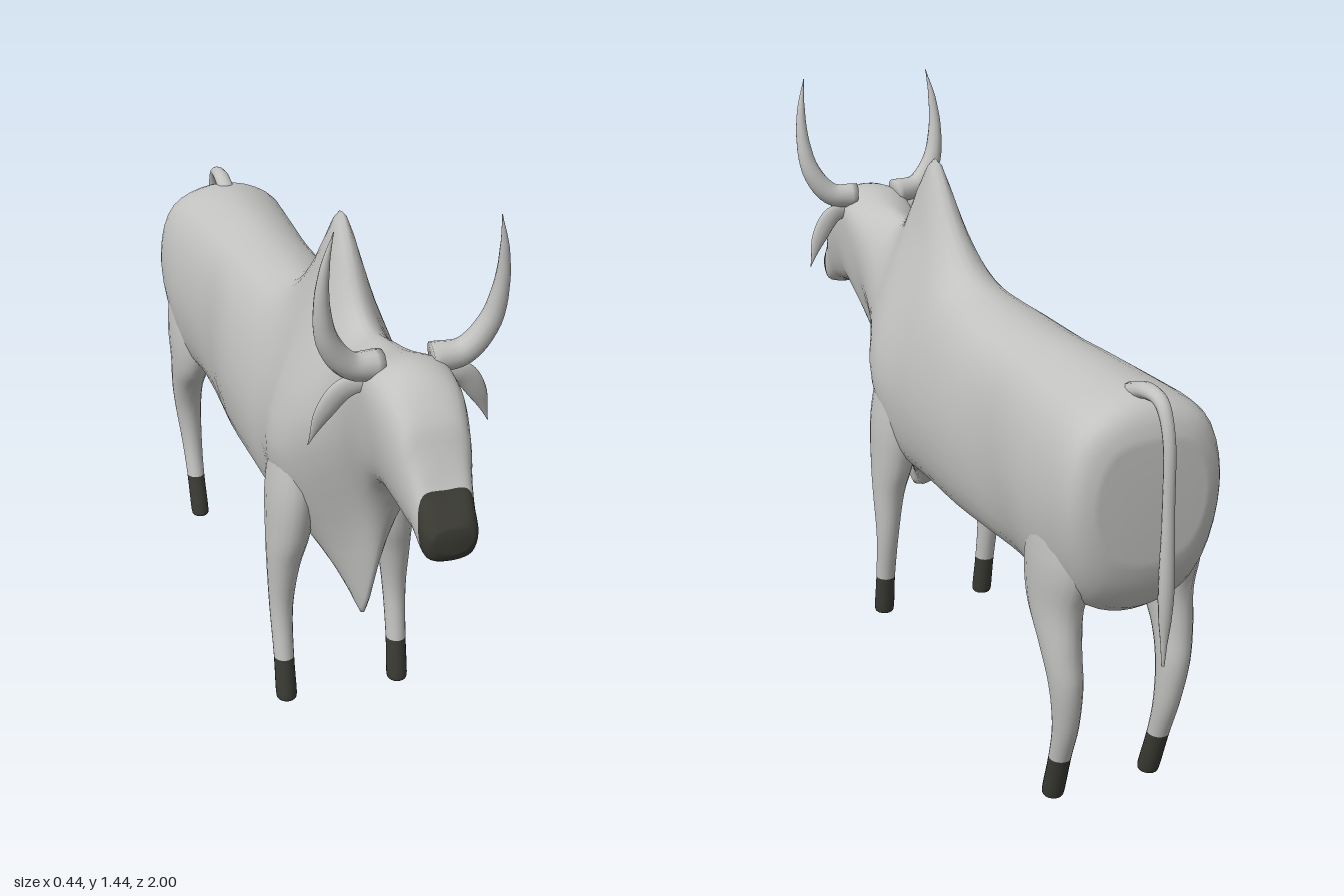
import * as THREE from 'three';

const hide = new THREE.MeshStandardMaterial({ name: 'greyHide', color: 0xc2c2c0 });
const dark = new THREE.MeshStandardMaterial({ name: 'darkHorn', color: 0x3b3b34 });

// Catmull-Rom interpolation of rows of numbers
function smooth(rows, sub) {
  const out = [];
  const at = (i) => rows[Math.max(0, Math.min(rows.length - 1, i))];
  for (let i = 0; i < rows.length - 1; i++) {
    for (let s = 0; s < sub; s++) {
      const t = s / sub;
      out.push(at(i).map((b, k) => {
        const a = at(i - 1)[k], c = at(i + 1)[k], d = at(i + 2)[k];
        return b + 0.5 * t * (c - a + t * (2 * a - 5 * b + 4 * c - d + t * (3 * (b - c) + d - a)));
      }));
    }
  }
  out.push(rows[rows.length - 1]);
  return out;
}

// Skin over closed rings with capped ends; rings from splitAt onward are dark
function loft(name, rings, splitAt = rings.length) {
  const n = rings[0].length, pos = [], index = [];
  const mid = (r) => r.reduce((s, p) => s.add(p), new THREE.Vector3()).divideScalar(n);
  const points = [...rings.flat(), mid(rings[0]), mid(rings[rings.length - 1])];
  points.forEach((p) => pos.push(p.x, p.y, p.z));
  const first = points.length - 2, last = points.length - 1, end = (rings.length - 1) * n;
  for (let j = 0; j < n; j++) index.push(first, (j + 1) % n, j);
  let split = 0;
  for (let i = 0; i < rings.length - 1; i++) {
    if (i === splitAt) split = index.length;
    for (let j = 0; j < n; j++) {
      const a = i * n + j, b = i * n + (j + 1) % n;
      index.push(a, b, a + n, b, b + n, a + n);
    }
  }
  for (let j = 0; j < n; j++) index.push(last, end + j, end + (j + 1) % n);
  // turn the faces outward if the enclosed volume is negative
  let volume = 0;
  const c = points[first], e = () => new THREE.Vector3();
  for (let i = 0; i < index.length; i += 3) {
    const [p, q, r] = [0, 1, 2].map((k) => e().subVectors(points[index[i + k]], c));
    volume += p.dot(q.cross(r));
  }
  if (volume < 0) {
    for (let i = 0; i < index.length; i += 3) [index[i + 1], index[i + 2]] = [index[i + 2], index[i + 1]];
  }
  const g = new THREE.BufferGeometry();
  g.setAttribute('position', new THREE.Float32BufferAttribute(pos, 3));
  g.setIndex(index);
  g.computeVertexNormals();
  if (split) {
    g.addGroup(0, split, 0);
    g.addGroup(split, index.length - split, 1);
  }
  const mesh = new THREE.Mesh(g, split ? [hide, dark] : hide);
  mesh.name = name;
  return mesh;
}

// Tapering sweep along a path; flat is the thickness-to-width ratio
function sweep(name, path, radii, flat, ref, steps = 24, sides = 12) {
  const curve = new THREE.CatmullRomCurve3(path.map((p) => new THREE.Vector3(...p)));
  const sizes = smooth(radii.map((r) => [r]), 16);
  const rings = [];
  for (let i = 0; i <= steps; i++) {
    const u = i / steps, p = curve.getPoint(u), t = curve.getTangent(u);
    const r = Math.max(0.001, sizes[Math.round(u * (sizes.length - 1))][0]);
    const a = new THREE.Vector3().crossVectors(ref, t).normalize();
    const b = new THREE.Vector3().crossVectors(t, a);
    rings.push(Array.from({ length: sides }, (_, j) => {
      const w = (j / sides) * Math.PI * 2;
      return p.clone().addScaledVector(a, r * Math.cos(w)).addScaledVector(b, r * flat * Math.sin(w));
    }));
  }
  return loft(name, rings);
}

// Body sections: z, top y, upper x, upper y, widest x, its y, lower x, lower y, bottom y
const trunk = [
  [-0.915, 0.93, 0.09, 0.91, 0.13, 0.80, 0.09, 0.69, 0.66],
  [-0.895, 0.99, 0.13, 0.95, 0.175, 0.80, 0.12, 0.62, 0.58],
  [-0.84, 1.025, 0.15, 0.965, 0.195, 0.78, 0.13, 0.56, 0.51],
  [-0.70, 1.03, 0.14, 0.97, 0.198, 0.75, 0.14, 0.54, 0.50],
  [-0.55, 1.03, 0.13, 0.97, 0.185, 0.75, 0.13, 0.54, 0.495],
  [-0.40, 1.025, 0.12, 0.97, 0.172, 0.75, 0.13, 0.53, 0.48],
  [-0.20, 1.025, 0.12, 0.97, 0.187, 0.73, 0.135, 0.52, 0.467],
  [0, 1.05, 0.10, 0.98, 0.18, 0.72, 0.135, 0.52, 0.462],
];
const humpAndDewlap = [
  [0.12, 1.15, 0.085, 1.02, 0.172, 0.73, 0.13, 0.51, 0.455],
  [0.20, 1.255, 0.07, 1.08, 0.18, 0.73, 0.12, 0.50, 0.43],
  [0.25, 1.297, 0.065, 1.10, 0.185, 0.74, 0.11, 0.50, 0.40],
  [0.31, 1.24, 0.065, 1.09, 0.172, 0.75, 0.09, 0.50, 0.36],
  [0.38, 1.13, 0.07, 1.03, 0.14, 0.80, 0.05, 0.50, 0.325],
  [0.45, 1.085, 0.075, 1.01, 0.115, 0.83, 0.035, 0.55, 0.325],
  [0.53, 1.09, 0.08, 1.03, 0.10, 0.88, 0.035, 0.65, 0.50],
  [0.61, 1.10, 0.085, 1.06, 0.10, 0.95, 0.06, 0.76, 0.68],
];
const head = [
  [0.69, 1.12, 0.088, 1.09, 0.103, 0.99, 0.07, 0.83, 0.80],
  [0.75, 1.122, 0.085, 1.09, 0.102, 0.99, 0.065, 0.845, 0.822],
  [0.81, 1.10, 0.078, 1.075, 0.096, 0.97, 0.06, 0.835, 0.812],
  [0.87, 1.045, 0.065, 1.03, 0.083, 0.93, 0.055, 0.82, 0.797],
  [0.90, 0.99, 0.057, 0.975, 0.073, 0.90, 0.052, 0.81, 0.785],
  [0.94, 0.92, 0.05, 0.915, 0.064, 0.85, 0.05, 0.785, 0.772],
  [0.975, 0.88, 0.045, 0.875, 0.06, 0.84, 0.046, 0.79, 0.778],
  [0.997, 0.855, 0.03, 0.85, 0.045, 0.835, 0.03, 0.81, 0.80],
];

function bodyRing([z, yt, x1, y1, w, ym, x2, y2, yb]) {
  const half = [[x1, y1], [w, ym], [x2, y2]];
  const outline = [[0, yt], ...half, [0, yb], ...half.slice().reverse().map(([x, y]) => [-x, y])];
  const curve = new THREE.CatmullRomCurve3(outline.map(([x, y]) => new THREE.Vector3(x, y, 0)), true);
  // the face leans so that the chin lies further forward
  const lean = 0.18 * Math.max(0, Math.min(z - 0.8, (1 - z) * 2.3));
  return Array.from({ length: 40 }, (_, j) => {
    const p = curve.getPoint(j / 40);
    p.z = z + lean * (yt - p.y) / (yt - yb);
    return p;
  });
}

// Leg sections: y, z, x, half depth, half width; the last two form the hoof
const frontLeg = [
  [0.82, 0.24, 0.12, 0.06, 0.03], [0.62, 0.245, 0.125, 0.095, 0.06],
  [0.48, 0.25, 0.135, 0.08, 0.055], [0.38, 0.25, 0.147, 0.052, 0.042],
  [0.25, 0.248, 0.153, 0.034, 0.03], [0.115, 0.27, 0.153, 0.028, 0.026],
  [0.012, 0.287, 0.152, 0.028, 0.027], [0, 0.287, 0.152, 0.022, 0.021],
];
const rearLeg = [
  [0.85, -0.76, 0.11, 0.09, 0.06], [0.65, -0.75, 0.13, 0.12, 0.067],
  [0.52, -0.742, 0.14, 0.095, 0.055], [0.42, -0.778, 0.143, 0.06, 0.045],
  [0.33, -0.798, 0.138, 0.046, 0.038], [0.22, -0.79, 0.132, 0.035, 0.03],
  [0.12, -0.762, 0.13, 0.028, 0.026],
  [0.012, -0.728, 0.128, 0.028, 0.026], [0, -0.728, 0.128, 0.022, 0.02],
];
function leg(name, rows, side) {
  const rings = smooth(rows, 4).map(([y, z, x, hz, hx]) => Array.from({ length: 20 }, (_, j) => {
    const w = (j / 20) * Math.PI * 2;
    return new THREE.Vector3(side * (x + hx * Math.cos(w)), y, z + hz * Math.sin(w));
  }));
  return loft(name, rings, (rows.length - 3) * 4);
}

export function createModel() {
  const model = new THREE.Group();
  model.name = 'humpedOx';
  const X = new THREE.Vector3(1, 0, 0), Z = new THREE.Vector3(0, 0, 1);

  // trunk, hump, dewlap and head in one skin, with a dark muzzle
  const rows = [...trunk, ...humpAndDewlap, ...head];
  model.add(loft('bodyAndHead', smooth(rows, 3).map(bodyRing), (rows.length - 3) * 3));

  for (const [label, s] of [['left', 1], ['right', -1]]) {
    model.add(leg(label + 'FrontLeg', frontLeg, s), leg(label + 'RearLeg', rearLeg, s));
    // horn curving out and up
    model.add(sweep(label + 'Horn', [
      [s * 0.06, 1.105, 0.69], [s * 0.13, 1.115, 0.697], [s * 0.182, 1.18, 0.708],
      [s * 0.2, 1.27, 0.722], [s * 0.197, 1.36, 0.735], [s * 0.183, 1.435, 0.746],
    ], [0.035, 0.031, 0.026, 0.018, 0.01, 0.001], 1, Z));
    // drooping leaf-shaped ear
    model.add(sweep(label + 'Ear', [
      [s * 0.085, 1.065, 0.69], [s * 0.135, 1.055, 0.682], [s * 0.178, 1.0, 0.672], [s * 0.211, 0.92, 0.66],
    ], [0.016, 0.026, 0.022, 0.001], 0.45, Z));
  }

  // tail arching off the rump and hanging straight
  model.add(sweep('tail', [
    [0, 1.01, -0.80], [0, 1.035, -0.87], [0, 1.03, -0.93], [0, 0.97, -0.965],
    [0, 0.80, -0.977], [0, 0.60, -0.982], [0, 0.44, -0.982],
  ], [0.02, 0.018, 0.014, 0.012, 0.012, 0.015, 0.003], 1.2, X, 36));
  return model;
}
